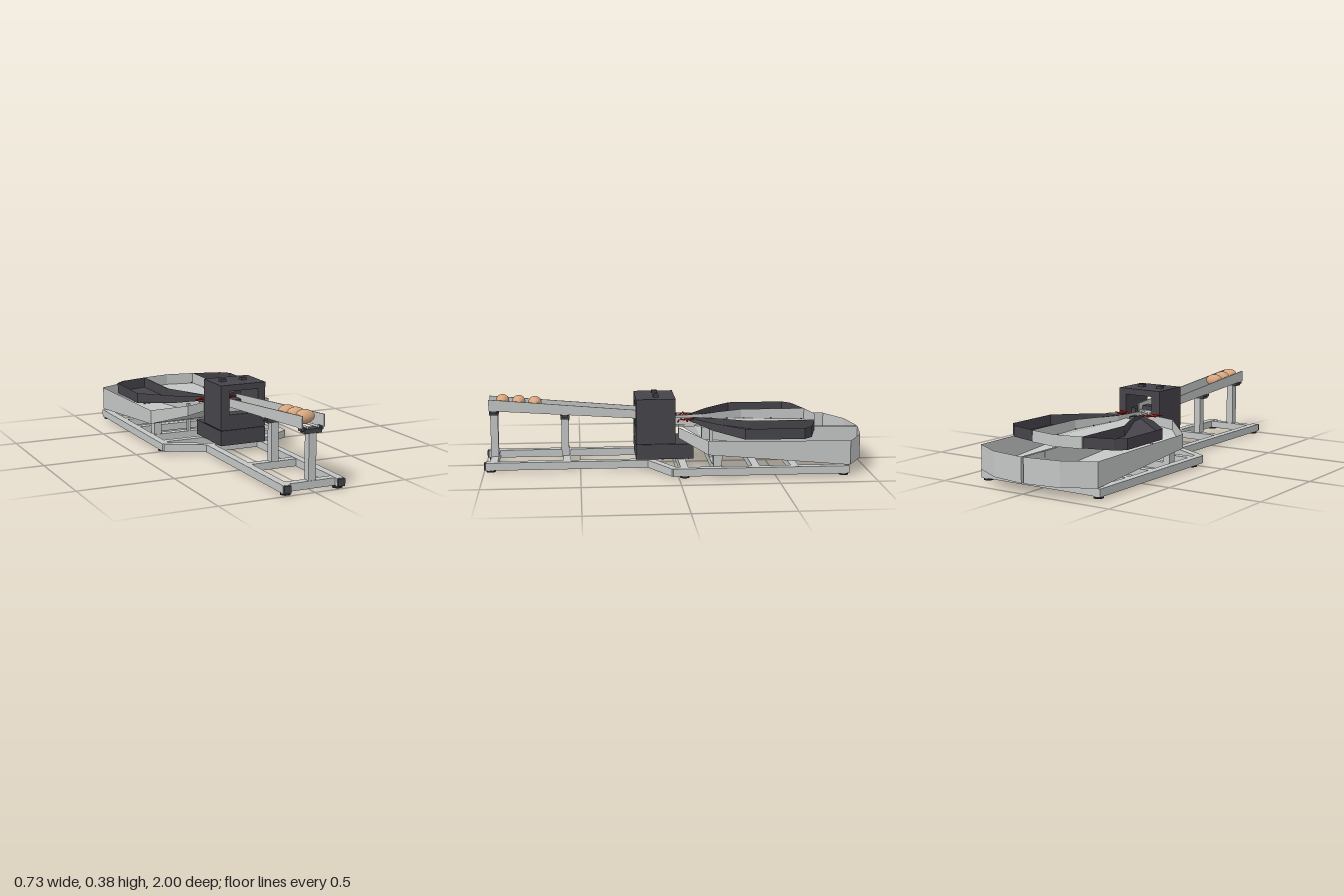
import * as THREE from 'three';

const mat = (name, color, side = THREE.FrontSide) => {
  const m = new THREE.MeshStandardMaterial({ color, side });
  m.name = name;
  return m;
};

export function createModel() {
  const root = new THREE.Group();
  const steel = mat('light steel', 0xc4c6c6);
  const sheet = mat('light sheet', 0xc4c6c6, THREE.DoubleSide);
  const dark = mat('dark housing', 0x46444a);
  const darkSheet = mat('dark sheet', 0x46444a, THREE.DoubleSide);
  const black = mat('black rubber', 0x222226);
  const shell = mat('egg shell', 0xd8a67e);
  const red = mat('red', 0xd41616);

  const add = (name, geo, m) => {
    const mesh = new THREE.Mesh(geo, m);
    mesh.name = name;
    root.add(mesh);
    return mesh;
  };
  // box given by its limits on each axis
  const box = (name, m, x0, x1, y0, y1, z0, z1) => {
    const mesh = add(name, new THREE.BoxGeometry(x1 - x0, y1 - y0, z1 - z0), m);
    mesh.position.set((x0 + x1) / 2, (y0 + y1) / 2, (z0 + z1) / 2);
    return mesh;
  };
  // square bar or round rod between two points
  const bar = (name, m, a, b, w, h, round = false) => {
    const p = new THREE.Vector3(...a), q = new THREE.Vector3(...b), len = p.distanceTo(q);
    const geo = round ? new THREE.CylinderGeometry(w / 2, w / 2, len, 12).rotateX(Math.PI / 2)
      : new THREE.BoxGeometry(w, h, len);
    const mesh = add(name, geo, m);
    mesh.position.copy(p).add(q).multiplyScalar(0.5);
    mesh.lookAt(q);
    return mesh;
  };
  // open tray: outline points [x, z, floorY, rimY]; edges in skip get no wall
  const tray = (name, m, pts, skip = []) => {
    const pos = [], n = pts.length;
    const low = (i) => [pts[i % n][0], pts[i % n][2], pts[i % n][1]];
    const top = (i) => [pts[i % n][0], pts[i % n][3], pts[i % n][1]];
    const outline = pts.map((p) => new THREE.Vector2(p[0], p[1]));
    for (const f of THREE.ShapeUtils.triangulateShape(outline, [])) {
      const [a, b, c] = f.map((i) => outline[i]);
      const up = (b.x - a.x) * (c.y - a.y) - (b.y - a.y) * (c.x - a.x) < 0;
      (up ? f : [f[0], f[2], f[1]]).forEach((i) => pos.push(...low(i)));
    }
    for (let i = 0; i < n; i++) {
      if (skip.includes(i)) continue;
      pos.push(...low(i), ...low(i + 1), ...top(i + 1), ...low(i), ...top(i + 1), ...top(i));
    }
    const geo = new THREE.BufferGeometry();
    geo.setAttribute('position', new THREE.Float32BufferAttribute(pos, 3));
    geo.computeVertexNormals();
    return add(name, geo, m);
  };

  // base frame
  for (const s of [-1, 1]) {
    bar('longRail', steel, [s * 0.144, 0.03, 0.99], [s * 0.144, 0.03, 0.12], 0.04, 0.04);
    box('railEndCap', dark, s * 0.144 - 0.019, s * 0.144 + 0.019, 0.012, 0.048, 0.985, 1.0);
    bar('diagonalRail', steel, [s * 0.135, 0.03, 0.14], [s * 0.35, 0.03, 0.02], 0.04, 0.04);
    bar('outerRail', steel, [s * 0.345, 0.03, 0.03], [s * 0.345, 0.03, -0.88], 0.04, 0.04);
    for (const [x, z] of [[0.14, 0.965], [0.338, -0.03], [0.338, -0.855]]) {
      const foot = add('foot', new THREE.CylinderGeometry(0.025, 0.025, 0.012, 16), black);
      foot.position.set(s * x, 0.006, z);
    }
    // tray supports
    box('trayPost', steel, s * 0.302 - 0.021, s * 0.302 + 0.021, 0.05, 0.118, -0.225, -0.18);
    box('chutePost', steel, s * 0.117 - 0.008, s * 0.117 + 0.008, 0.05, 0.2, -0.2, -0.18);
    box('trayBlock', dark, s * 0.205 - 0.025, s * 0.205 + 0.025, 0.05, 0.073, -0.61, -0.575);
    for (const [x, z, y] of [[0.29, -0.863, 0.062], [0.31, -0.21, 0.121]])
      box('trayPad', dark, s * x - 0.027, s * x + 0.027, y - 0.004, y + 0.004, z - 0.022, z + 0.018);
    box('traySlot', dark, s * 0.085 - 0.022, s * 0.085 + 0.022, 0.056, 0.062, -0.878, -0.868);
  }
  for (const z of [0.95, 0.57, 0.14])
    box('narrowCrossBar', steel, -0.13, 0.13, 0.011, 0.049, z - 0.02, z + 0.02);
  for (const z of [-0.03, -0.2, -0.4, -0.6, -0.86])
    box('wideCrossBar', steel, -0.33, 0.33, 0.011, 0.049, z - 0.02, z + 0.02);

  // feed ramp with posts, side plates and rods
  for (const [z, h] of [[0.95, 0.278], [0.578, 0.25]]) {
    box('rampPost', steel, -0.02, 0.02, 0.05, h, z - 0.02, z + 0.02);
    box('rampSaddle', dark, -0.045, 0.045, h, h + 0.022, z - 0.024, z + 0.024);
  }
  const side = new THREE.Shape([[0.975, 0.305], [0.975, 0.365], [0.05, 0.285], [0.05, 0.243]]
    .map((p) => new THREE.Vector2(...p)));
  const sideGeo = new THREE.ExtrudeGeometry(side, { depth: 0.005, bevelEnabled: false }).rotateY(-Math.PI / 2);
  for (const s of [-1, 1]) {
    add('rampSide', sideGeo, steel).position.x = s * 0.058 + 0.0025;
    bar('rampRod', steel, [s * 0.029, 0.308, 0.97], [s * 0.029, 0.24, 0.03], 0.012, 0, true);
    for (const [z, y] of [[0.95, 0.3], [0.578, 0.273]])
      box('rodClip', dark, s * 0.044 - 0.016, s * 0.044 + 0.016, y - 0.01, y + 0.006, z - 0.015, z + 0.015);
  }

  // eggs lying across the rods
  const eggGeo = new THREE.SphereGeometry(1, 32, 20).rotateZ(Math.PI / 2);
  const ep = eggGeo.attributes.position;
  for (let i = 0; i < ep.count; i++) {
    const k = 1 + 0.12 * ep.getX(i);
    ep.setXYZ(i, ep.getX(i) * 0.049, ep.getY(i) * 0.035 * k, ep.getZ(i) * 0.035 * k);
  }
  eggGeo.rotateY(Math.PI);
  eggGeo.computeVertexNormals();
  [0.735, 0.82, 0.905].forEach((z, i) => add('egg', eggGeo, shell).position.set(-0.006, 0.333 + i * 0.006, z));

  // inspection housing with a through opening
  const face = new THREE.Shape([[-0.11, 0.134], [0.147, 0.134], [0.147, 0.37], [-0.11, 0.37]]
    .map((p) => new THREE.Vector2(...p)));
  face.holes.push(new THREE.Path([[-0.062, 0.212], [-0.062, 0.337], [0.104, 0.337], [0.104, 0.212]]
    .map((p) => new THREE.Vector2(...p))));
  add('housing', new THREE.ExtrudeGeometry(face, { depth: 0.208, bevelEnabled: false }), dark);
  box('housingBase', dark, -0.11, 0.147, 0.05, 0.129, -0.095, 0.208);
  box('housingSeam', black, -0.106, 0.143, 0.129, 0.134, 0.003, 0.205);
  for (const x of [-0.049, 0.069]) box('topKnob', dark, x - 0.016, x + 0.016, 0.37, 0.383, 0.085, 0.115);
  for (let i = 0; i < 8; i++)
    box('baseRib', black, -0.09, 0.125, 0.044, 0.05, -0.08 + i * 0.035, -0.068 + i * 0.035);
  // mechanism inside the opening
  box('carriage', steel, -0.032, 0.058, 0.212, 0.25, 0.06, 0.14);
  box('carriageTop', dark, -0.045, 0.045, 0.25, 0.272, 0.07, 0.13);
  box('motor', dark, 0.076, 0.104, 0.212, 0.257, 0.05, 0.13);
  bar('motorShaft', steel, [0.05, 0.237, 0.09], [0.08, 0.237, 0.09], 0.018, 0, true);

  // outlet chute and red sorting fingers
  box('chuteFloor', steel, -0.04, 0.04, 0.2, 0.21, -0.11, 0.01);
  for (const s of [-1, 1]) {
    bar('chuteGuide', steel, [s * 0.028, 0.228, 0.01], [s * 0.045, 0.228, -0.12], 0.006, 0.04);
    box('chuteBlock', dark, s * 0.018 - 0.008, s * 0.018 + 0.008, 0.21, 0.235, -0.08, -0.03);
    for (const [x0, z0, x1, z1] of [[0.05, -0.055, 0.1, -0.085], [0.06, -0.065, 0.13, -0.062],
      [0.055, -0.035, 0.09, -0.05], [0.08, -0.022, 0.135, -0.012], [0.05, -0.07, 0.075, -0.1]])
      bar('redFinger', red, [s * x0, 0.244, z0], [s * x1, 0.246, z1], 0.007, 0.005);
  }

  // collecting trays, mirrored left and right
  for (const s of [-1, 1]) {
    const m = (pts) => pts.map(([x, ...r]) => [s * x, ...r]);
    tray('lowerTrayFront', sheet, m([[0.05, -0.02, 0.2, 0.245], [0.2, -0.01, 0.175, 0.23],
      [0.355, -0.15, 0.118, 0.192], [0.007, -0.15, 0.125, 0.19]]), [2, 3]);
    tray('lowerTray', sheet, m([[0.007, -0.15, 0.122, 0.19], [0.355, -0.15, 0.118, 0.192],
      [0.357, -0.885, 0.053, 0.18], [0.2, -0.97, 0.051, 0.18], [0.007, -1.0, 0.051, 0.18]]), [0]);
    tray('upperSideTray', darkSheet, m([[0.05, -0.085, 0.232, 0.25], [0.2, -0.19, 0.21, 0.25],
      [0.355, -0.34, 0.195, 0.25], [0.355, -0.645, 0.193, 0.25], [0.31, -0.69, 0.193, 0.25],
      [0.157, -0.732, 0.193, 0.25], [0.157, -0.385, 0.197, 0.25], [0.047, -0.14, 0.225, 0.25]]));
  }
  box('trayBridge', steel, -0.008, 0.008, 0.15, 0.18, -0.84, -0.815);
  const half = [[0.038, -0.1, 0.228, 0.25], [0.046, -0.16, 0.222, 0.25], [0.153, -0.385, 0.2, 0.25],
    [0.153, -0.735, 0.19, 0.25]];
  const mirrored = half.map(([x, ...r]) => [-x, ...r]).reverse();
  tray('centreTray', sheet, [...half, [0, -0.765, 0.19, 0.25], ...mirrored], [8]);
  // small screws along the centre tray edges
  for (const s of [-1, 1])
    for (const [x, z, y] of [[0.14, -0.72, 0.193], [0.14, -0.55, 0.197], [0.14, -0.4, 0.201], [0.1, -0.3, 0.21], [0.06, -0.21, 0.219]])
      box('screw', dark, s * x - 0.003, s * x + 0.003, y, y + 0.005, z - 0.003, z + 0.003);
  return root;
}
